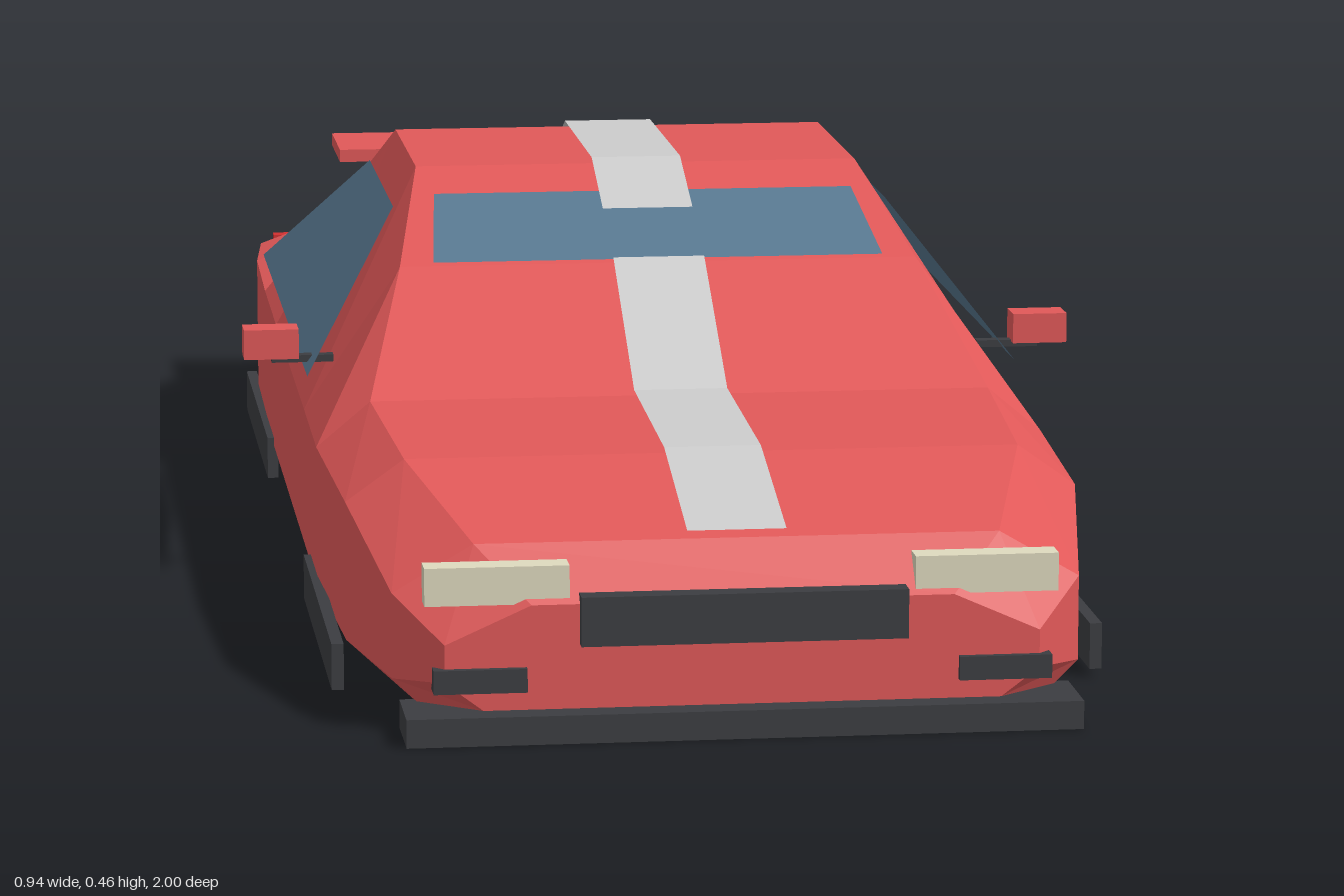
import * as THREE from 'three';

const mat = (color, extra = {}) => new THREE.MeshStandardMaterial({ color, flatShading: true, ...extra });
const RED = mat(0xe05858), DARK = mat(0x3c3d41), LAMP = mat(0xded9be), TAIL = mat(0xd03030), GREY = mat(0xcccccc);
const GLASS = mat(0x587890, { side: THREE.DoubleSide });
const STRIPE = mat(0xcccccc, { side: THREE.DoubleSide });

// Cross-sections from nose to tail: z, then half-width and height of floor, sill, belt and top edge
const SECTIONS = [
  [0.97, 0.27, 0.03, 0.31, 0.06, 0.31, 0.10, 0.22, 0.14],
  [0.92, 0.33, 0.025, 0.36, 0.055, 0.36, 0.145, 0.275, 0.195],
  [0.72, 0.36, 0.02, 0.393, 0.05, 0.393, 0.20, 0.33, 0.245],
  [0.45, 0.36, 0.02, 0.405, 0.05, 0.405, 0.205, 0.345, 0.255],
  [0.25, 0.36, 0.02, 0.405, 0.05, 0.405, 0.208, 0.295, 0.37],
  [0.03, 0.36, 0.02, 0.405, 0.05, 0.405, 0.21, 0.258, 0.45],
  [-0.26, 0.36, 0.02, 0.405, 0.05, 0.405, 0.213, 0.258, 0.45],
  [-0.48, 0.36, 0.02, 0.405, 0.05, 0.405, 0.216, 0.285, 0.36],
  [-0.68, 0.36, 0.02, 0.403, 0.05, 0.403, 0.22, 0.335, 0.245],
  [-0.90, 0.35, 0.02, 0.385, 0.05, 0.385, 0.205, 0.33, 0.225],
  [-0.96, 0.33, 0.025, 0.36, 0.05, 0.36, 0.175, 0.31, 0.195],
];

function geometryFrom(triangles) {
  const geo = new THREE.BufferGeometry();
  geo.setAttribute('position', new THREE.Float32BufferAttribute(triangles.flat(2), 3));
  geo.computeVertexNormals();
  return geo;
}

// Loft the shell through mirrored rings and cap both ends
function bodyGeometry() {
  const rings = SECTIONS.map(([z, ...p]) => {
    const half = [0, 2, 4, 6].map(i => [p[i], p[i + 1], z]);
    return [...half, ...half.slice().reverse().map(([x, y]) => [-x, y, z])];
  });
  const tris = [], n = 8;
  for (let i = 0; i < rings.length - 1; i++) {
    for (let j = 0; j < n; j++) {
      const k = (j + 1) % n;
      const a = rings[i][j], b = rings[i][k], c = rings[i + 1][k], d = rings[i + 1][j];
      if (j < 4) tris.push([a, d, c], [a, c, b]);
      else tris.push([a, d, b], [d, c, b]);
    }
  }
  const front = rings[0], back = rings[rings.length - 1];
  for (let j = 1; j < n - 1; j++) {
    tris.push([front[0], front[j], front[j + 1]], [back[0], back[j + 1], back[j]]);
  }
  return geometryFrom(tris);
}

// Height of the body's centre line at z
function topAt(z) {
  for (let i = 0; i < SECTIONS.length - 1; i++) {
    const a = SECTIONS[i], b = SECTIONS[i + 1];
    if (z <= a[0] && z >= b[0]) return THREE.MathUtils.lerp(a[8], b[8], (a[0] - z) / (a[0] - b[0]));
  }
  return 0;
}

// Ribbon lying on the body between two z positions
function ribbonGeometry(z0, z1, w0, w1, lift) {
  const zs = [z0, ...SECTIONS.map(s => s[0]).filter(z => z < z0 && z > z1), z1];
  const tris = [];
  const edge = z => {
    const w = THREE.MathUtils.lerp(w0, w1, (z0 - z) / (z0 - z1)), y = topAt(z) + lift;
    return [[-w, y, z], [w, y, z]];
  };
  for (let i = 0; i < zs.length - 1; i++) {
    const [a, b] = edge(zs[i]), [d, c] = edge(zs[i + 1]);
    tris.push([a, b, c], [a, c, d]);
  }
  return geometryFrom(tris);
}

export function createModel() {
  const car = new THREE.Group();
  car.name = 'sportsCar';
  const add = (name, geo, material) => {
    const mesh = new THREE.Mesh(geo, material);
    mesh.name = name;
    car.add(mesh);
    return mesh;
  };
  // Box given by its limits on each axis
  const box = (name, material, x0, x1, y0, y1, z0, z1) =>
    add(name, new THREE.BoxGeometry(x1 - x0, y1 - y0, z1 - z0), material)
      .position.set((x0 + x1) / 2, (y0 + y1) / 2, (z0 + z1) / 2);
  // The same box on both sides
  const pair = (name, material, x0, x1, ...rest) => {
    box(name + 'Left', material, x0, x1, ...rest);
    box(name + 'Right', material, -x1, -x0, ...rest);
  };

  add('body', bodyGeometry(), RED);

  // Glass and stripes
  add('windshield', ribbonGeometry(0.25, 0.10, 0.257, 0.243, 0.004), GLASS);
  add('rearWindow', ribbonGeometry(-0.33, -0.49, 0.243, 0.257, 0.004), GLASS);
  add('hoodStripe', ribbonGeometry(0.915, 0.25, 0.052, 0.052, 0.006), STRIPE);
  add('roofStripe', ribbonGeometry(0.145, -0.37, 0.052, 0.052, 0.007), STRIPE);
  add('tailStripe', ribbonGeometry(-0.49, -0.86, 0.052, 0.052, 0.006), STRIPE);
  for (const s of [1, -1]) {
    const a = [s * 0.404, 0.255, 0.295], b = [s * 0.404, 0.255, -0.52];
    const c = [s * 0.288, 0.41, -0.28], d = [s * 0.288, 0.41, 0.07];
    add(s > 0 ? 'sideWindowLeft' : 'sideWindowRight',
      geometryFrom(s > 0 ? [[a, b, c], [a, c, d]] : [[a, c, b], [a, d, c]]), GLASS);
  }

  // Nose
  box('frontBumper', DARK, -0.352, 0.352, 0, 0.03, 0.91, 1.0);
  box('grille', DARK, -0.17, 0.17, 0.098, 0.15, 0.955, 0.985);
  pair('headlight', LAMP, 0.18, 0.33, 0.14, 0.18, 0.935, 0.965);
  pair('fogLight', DARK, 0.225, 0.322, 0.05, 0.075, 0.945, 0.978);

  // Tail
  box('rearBumper', DARK, -0.342, 0.342, 0, 0.03, -1.0, -0.9);
  pair('tailLight', TAIL, 0.2, 0.365, 0.175, 0.207, -0.972, -0.95);
  pair('exhaust', GREY, 0.178, 0.222, 0.03, 0.07, -0.997, -0.955);
  pair('spoilerPost', DARK, 0.18, 0.21, 0.21, 0.325, -0.92, -0.88);
  box('spoilerWing', RED, -0.285, 0.285, 0.322, 0.338, -0.975, -0.83);

  // Wheel strips and mirrors
  pair('frontWheel', DARK, 0.4, 0.413, 0.01, 0.06, 0.34, 0.78);
  pair('rearWheel', DARK, 0.4, 0.413, 0.01, 0.06, -0.765, -0.325);
  pair('mirrorArm', DARK, 0.37, 0.44, 0.26, 0.268, 0.22, 0.235);
  pair('mirror', RED, 0.41, 0.472, 0.266, 0.3, 0.208, 0.247);
  return car;
}
